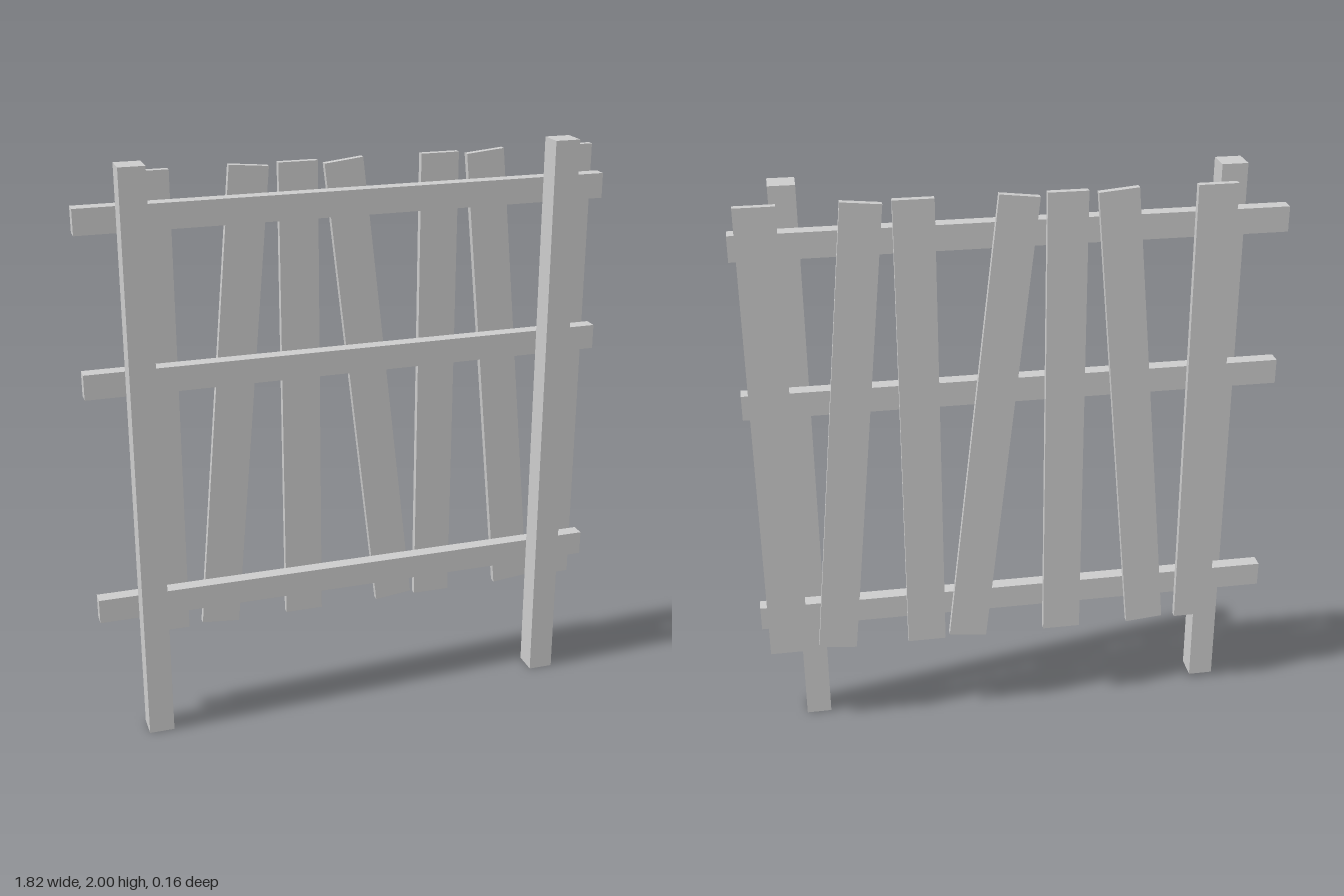
import * as THREE from 'three';

export function createModel() {
  const fence = new THREE.Group();
  fence.name = 'fence';
  const wood = new THREE.MeshStandardMaterial({ color: 0xcccccc, flatShading: true });

  function board(name, size, position, tilt = 0) {
    const mesh = new THREE.Mesh(new THREE.BoxGeometry(...size), wood);
    mesh.name = name;
    mesh.position.set(...position);
    mesh.rotation.z = tilt;
    fence.add(mesh);
  }

  // Square posts at the front
  for (const [name, side] of [['leftPost', 1], ['rightPost', -1]]) {
    board(name, [0.087, 2, 0.087], [side * 0.728, 1, 0.0365]);
  }

  // Horizontal rails behind the posts
  [['bottomRail', 0.458], ['middleRail', 1.275], ['topRail', 1.82]].forEach(([name, y]) => {
    board(name, [1.815, 0.086, 0.049], [0, y, -0.0315]);
  });

  // Thin pickets on the back of the rails, some hanging crooked: [x, tilt]
  const pickets = [
    [-0.655, 0], [-0.401, -0.089], [-0.164, 0], [0.085, 0.115],
    [0.327, 0], [0.568, 0.096], [0.817, 0],
  ];
  pickets.forEach(([x, tilt], i) => {
    board(`picket${i + 1}`, [0.133, 1.635, 0.024], [x, 1.14, -0.068], tilt);
  });

  return fence;
}
